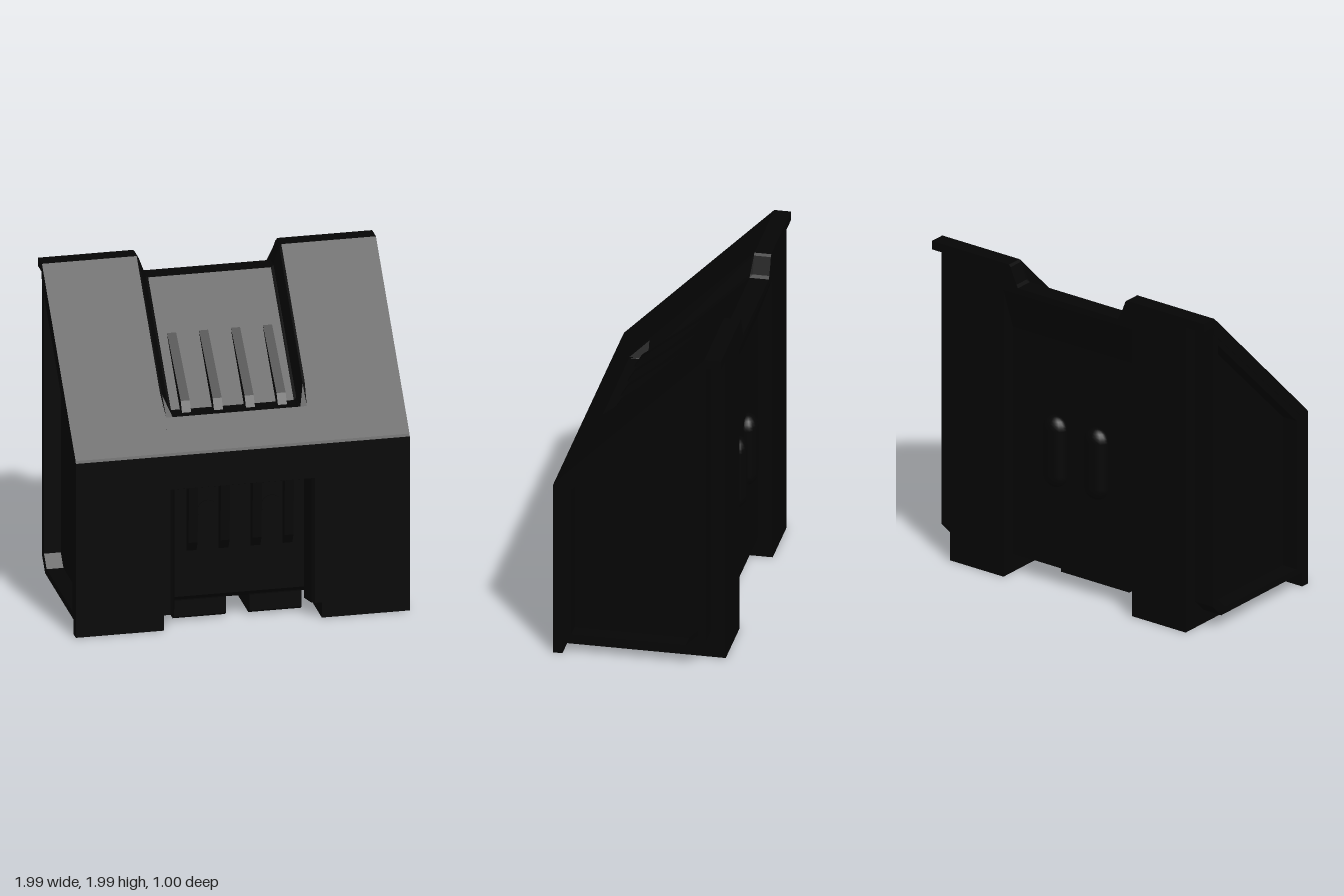
import * as THREE from 'three';

const black = new THREE.MeshStandardMaterial({ color: 0x050505, side: THREE.DoubleSide });
black.name = 'matte black';

// Softened bend between front face and roof, in (z, y)
const BEND = [[0.497, 1.09], [0.49, 1.105]];

// Side profile in (z, y), extruded across x from x0 to x1
function slab(name, profile, x0, x1, hole) {
  const pts = (list) => list.map(([z, y]) => new THREE.Vector2(-z, y));
  const shape = new THREE.Shape(pts(profile));
  if (hole) shape.holes.push(new THREE.Path(pts(hole)));
  const geo = new THREE.ExtrudeGeometry(shape, { depth: x1 - x0, bevelEnabled: false });
  geo.rotateY(Math.PI / 2);
  geo.translate(x0, 0, 0);
  const mesh = new THREE.Mesh(geo, black);
  mesh.name = name;
  return mesh;
}

// Same slab on both sides
function pair(group, name, profile, x0, x1, hole) {
  group.add(slab(name + 'Left', profile, x0, x1, hole));
  group.add(slab(name + 'Right', profile, -x1, -x0, hole));
}

// Strip joined through a list of sections with equal point counts
function wedge(name, sections) {
  const pos = [];
  const count = sections[0].length;
  sections.slice(1).forEach((b, i) => {
    const a = sections[i];
    for (let k = 0; k < count; k++) {
      const n = (k + 1) % count;
      pos.push(...a[k], ...b[k], ...b[n], ...a[k], ...b[n], ...a[n]);
    }
  });
  for (const s of [sections[0], sections[sections.length - 1]]) {
    for (let k = 1; k < count - 1; k++) pos.push(...s[0], ...s[k], ...s[k + 1]);
  }
  const geo = new THREE.BufferGeometry();
  geo.setAttribute('position', new THREE.Float32BufferAttribute(pos, 3));
  geo.computeVertexNormals();
  const mesh = new THREE.Mesh(geo, black);
  mesh.name = name;
  return mesh;
}

export function createModel() {
  const g = new THREE.Group();
  g.name = 'slopedHousing';

  // Recessed centre: front panel, sloped channel and back panel
  g.add(slab('centrePanel', [
    [0.33, 0.12], [0.4, 0.17], [0.4, 0.84], [0.497, 0.88], ...BEND, [0.33, 1.265], [0.22, 1.265],
    [-0.385, 1.86], [-0.5, 1.86], [-0.5, 1.82], [-0.41, 1.56], [-0.41, 0.12],
  ], -0.43, 0.43));

  // Solid columns beside the channel
  pair(g, 'innerColumn', [
    [0.497, 0.1], ...BEND, [-0.4, 1.993], [-0.5, 1.993], [-0.5, 1.82], [-0.41, 1.56], [-0.41, 0.12],
  ], 0.43, 0.47);
  pair(g, 'column', [
    [0.497, 0.005], ...BEND, [-0.4, 1.993], [-0.5, 1.993], [-0.5, 0.005],
  ], 0.47, 0.86);

  // Front and roof shell reaching the full width, with a lip at the back
  pair(g, 'shell', [
    [0.497, 0.005], ...BEND, [-0.4, 1.993], [-0.5, 1.993], [-0.5, 1.94], [-0.41, 1.94],
    [-0.41, 1.9], [0.44, 1.08], [0.44, 0.005],
  ], 0.86, 0.993);

  // Side frame and its inset panel
  pair(g, 'sideFrame', [
    [0.45, 0.09], [0.45, 1.08], [-0.41, 1.93], [-0.41, 0.17], [-0.33, 0.09],
  ], 0.86, 0.99, [
    [0.39, 0.13], [0.39, 1.07], [-0.36, 1.81], [-0.36, 0.2], [-0.29, 0.13],
  ]);
  pair(g, 'sidePanel', [
    [0.41, 0.1], [0.41, 1.07], [-0.38, 1.86], [-0.38, 0.18], [-0.3, 0.1],
  ], 0.86, 0.89);

  // Low crossbar and block underneath
  g.add(slab('crossbar', [[0, 0.012], [0, 0.13], [-0.12, 0.13], [-0.12, 0.012]], -0.47, 0.47));
  g.add(slab('centreBlock', [[0, 0.005], [0, 0.13], [-0.24, 0.13], [-0.24, 0.005]], -0.25, 0.25));

  for (const s of [-1, 1]) {
    // Slanted, rounded walls of the roof channel: z, upper edge, floor
    const channel = [
      [-0.5, 1.993, 1.86], [-0.4, 1.993, 1.86], [-0.385, 1.98, 1.86], [0.22, 1.375, 1.265], [0.33, 1.265, 1.265],
    ];
    g.add(wedge('channelWall', channel.map(([z, top, floor]) => {
      const point = (x, t) => [s * x, floor + (top - floor) * t, z];
      return [point(0.43, 1), point(0.418, 0.9), point(0.38, 0.12), point(0.365, 0), point(0.43, 0)];
    })));
    // Slanted walls of the front recess
    g.add(wedge('recessWall', [0.1, 0.88].map((y) => [
      [s * 0.43, y, 0.497], [s * 0.41, y, 0.485], [s * 0.385, y, 0.4], [s * 0.43, y, 0.4],
    ])));
    // Feet under the centre
    const foot = slab('foot', [[0.36, 0.03], [0.36, 0.13], [-0.05, 0.13], [-0.05, 0.01], [0.33, 0.01]], 0.07, 0.38);
    if (s < 0) foot.position.x = -0.45;
    g.add(foot);
    // Rounded ribs on the back panel
    const rib = new THREE.Mesh(new THREE.CapsuleGeometry(0.08, 0.29, 6, 16), black);
    rib.name = 'backRib';
    rib.scale.z = 0.75;
    rib.position.set(s * 0.15, 0.86, -0.42);
    g.add(rib);
    // Round plugs in the front recess
    const plug = new THREE.Mesh(new THREE.CylinderGeometry(0.06, 0.06, 0.01, 24), black);
    plug.name = 'frontPlug';
    plug.rotation.x = Math.PI / 2;
    plug.position.set(s * 0.19, 0.7, 0.402);
    g.add(plug);
  }

  // Fins on the roof channel and the front recess
  for (const x of [-0.285, -0.095, 0.095, 0.285]) {
    g.add(slab('roofFin', [[0.28, 1.26], [0.24, 1.325], [-0.12, 1.61], [0, 1.44], [0.2, 1.22]], x - 0.027, x + 0.027));
    g.add(slab('frontFin', [[0.39, 0.45], [0.42, 0.46], [0.45, 0.52], [0.46, 0.87], [0.39, 0.87]], x - 0.027, x + 0.027));
  }
  return g;
}
